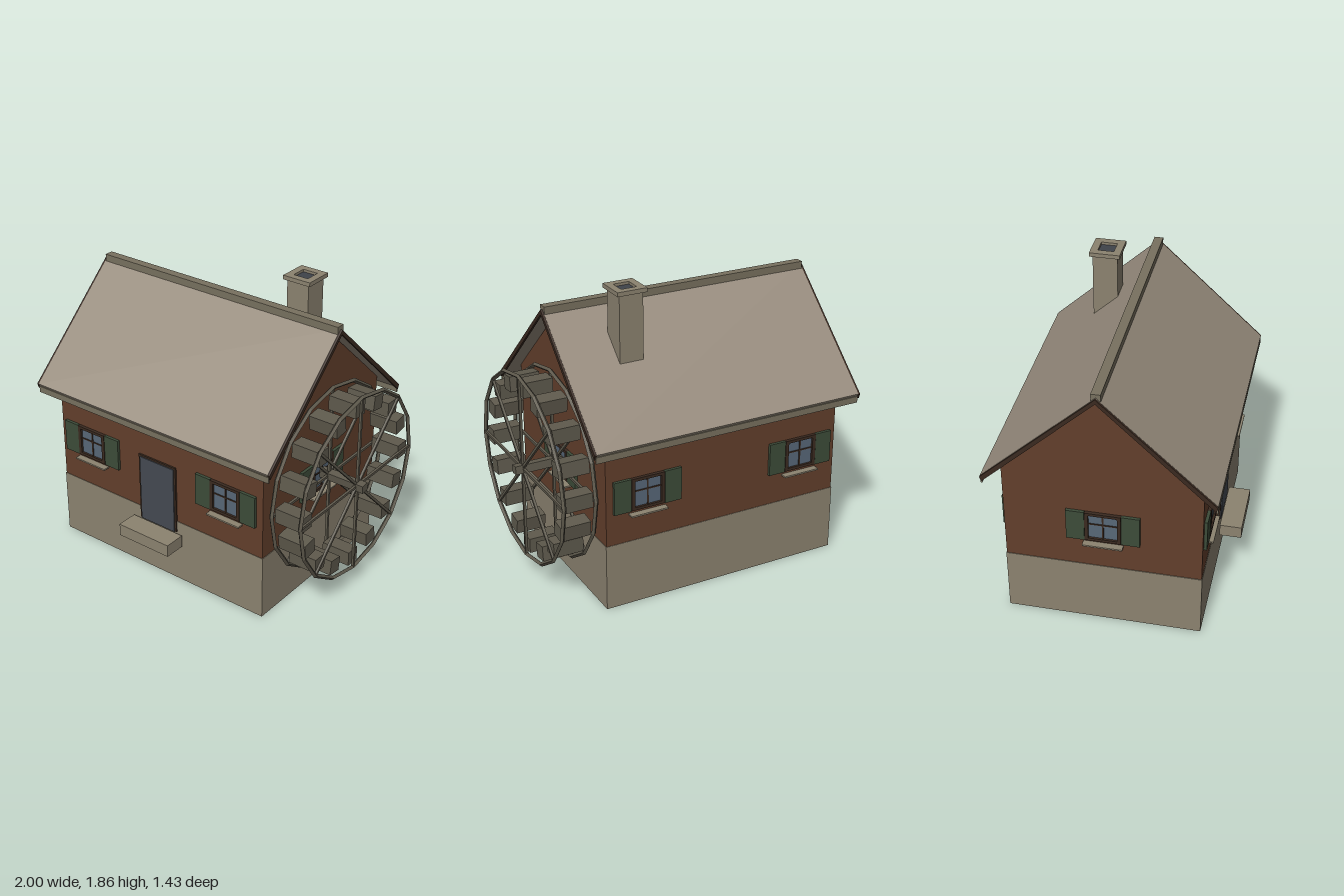
import * as THREE from 'three';

const mat = (color) => new THREE.MeshStandardMaterial({ color, flatShading: true });
const M = {
  stone: mat(0x8c8370), roof: mat(0x978c7d), ridge: mat(0x78715f), wall: mat(0x633f2c),
  trim: mat(0x3a2a20), shutter: mat(0x3d4c39), glass: mat(0x586878), door: mat(0x454a52),
  iron: mat(0x5f5a4d), soot: mat(0x3f434a),
};

// Box given by its limits on each axis
function box(parent, name, material, x0, x1, y0, y1, z0, z1) {
  const mesh = new THREE.Mesh(new THREE.BoxGeometry(x1 - x0, y1 - y0, z1 - z0), material);
  mesh.position.set((x0 + x1) / 2, (y0 + y1) / 2, (z0 + z1) / 2);
  mesh.name = name;
  parent.add(mesh);
  return mesh;
}

// Profile drawn in (-z, y) and extruded along x from x0 to x1
function alongX(parent, name, material, points, x0, x1) {
  const shape = new THREE.Shape(points.map(([z, y]) => new THREE.Vector2(-z, y)));
  const geo = new THREE.ExtrudeGeometry(shape, { depth: x1 - x0, bevelEnabled: false });
  geo.rotateY(Math.PI / 2).translate(x0, 0, 0);
  const mesh = new THREE.Mesh(geo, material);
  mesh.name = name;
  parent.add(mesh);
}

// Shuttered window facing +z, origin at its centre on the wall
function makeWindow() {
  const g = new THREE.Group();
  g.name = 'window';
  box(g, 'glass', M.glass, -0.1, 0.1, -0.1, 0.1, -0.01, 0.006);
  for (const s of [-1, 1]) {
    box(g, 'frameSide', M.trim, s * 0.097 - 0.011, s * 0.097 + 0.011, -0.1, 0.1, -0.01, 0.02);
    box(g, 'frameRail', M.trim, -0.108, 0.108, s * 0.093 - 0.009, s * 0.093 + 0.009, -0.01, 0.02);
    box(g, 'shutter', M.shutter, s * 0.165 - 0.055, s * 0.165 + 0.055, -0.105, 0.103, -0.01, 0.018);
  }
  box(g, 'mullion', M.trim, -0.005, 0.005, -0.1, 0.1, -0.01, 0.011);
  box(g, 'crossbar', M.trim, -0.1, 0.1, 0.012, 0.02, -0.01, 0.011);
  box(g, 'sill', M.stone, -0.12, 0.12, -0.134, -0.124, -0.01, 0.042);
  return g;
}

// Water wheel turning about the x axis, origin at the house-side ring
function makeWheel() {
  const g = new THREE.Group();
  g.name = 'waterWheel';
  const width = 0.2;
  for (const x of [0, width]) {
    const rim = new THREE.Mesh(new THREE.TorusGeometry(0.592, 0.014, 4, 16), M.iron);
    rim.rotation.y = Math.PI / 2;
    rim.position.x = x;
    rim.name = 'rim';
    g.add(rim);
    for (let i = 0; i < 4; i++) {
      const spoke = box(g, 'spoke', M.iron, x - 0.008, x + 0.008, -0.59, 0.59, -0.008, 0.008);
      spoke.rotation.x = (i * Math.PI) / 4;
    }
  }
  for (let i = 0; i < 16; i++) {
    const a = (i * Math.PI) / 8;
    const bucket = box(g, 'bucket', M.iron, 0.005, width - 0.005, -0.047, 0.047, -0.047, 0.047);
    bucket.position.y = 0.515 * Math.cos(a);
    bucket.position.z = 0.515 * Math.sin(a);
    bucket.rotation.x = 0.13 * Math.sin(4 * a);
  }
  const axle = box(g, 'axle', M.iron, -0.07, 0.255, -0.026, 0.026, -0.026, 0.026);
  axle.rotation.x = 0.12;
  return g;
}

export function createModel() {
  const house = new THREE.Group();
  house.name = 'watermill';
  const zc = -0.025;

  // Stone base and gabled walls
  box(house, 'stoneBase', M.stone, -0.89, 0.69, 0, 0.42, -0.62, 0.57);
  alongX(house, 'walls', M.wall,
    [[0.567, 0.42], [-0.617, 0.42], [-0.617, 1.135], [zc, 1.68], [0.567, 1.135]], -0.886, 0.686);

  // Roof slopes, bargeboards and eaves boards, mirrored about the ridge
  for (const s of [1, -1]) {
    const slope = (drop, t) => {
      const pts = [[zc, 1.71 - drop], [zc + s * 0.685, 1.075 - drop],
        [zc + s * 0.675, 1.075 - drop - t], [zc, 1.71 - drop - t]];
      return s > 0 ? pts : pts.reverse();
    };
    alongX(house, 'roofSlope', M.roof, slope(0, 0.02), -0.985, 0.78);
    alongX(house, 'bargeboard', M.trim, slope(0.002, 0.03), -0.998, -0.984);
    alongX(house, 'bargeboard', M.trim, slope(0.002, 0.03), 0.779, 0.793);
    const z = zc + s * 0.679;
    box(house, 'eavesBoard', M.ridge, -0.98, 0.785, 1.02, 1.06, z - 0.005, z + 0.005);
  }
  box(house, 'ridgeCap', M.ridge, -0.98, 0.78, 1.68, 1.73, zc - 0.028, zc + 0.028);

  // Chimney with an open cap
  box(house, 'chimneyStack', M.stone, 0.293, 0.445, 1.3, 1.835, -0.34, -0.186);
  const cap = new THREE.Shape();
  cap.moveTo(-0.095, -0.095).lineTo(0.095, -0.095).lineTo(0.095, 0.095).lineTo(-0.095, 0.095);
  const flue = new THREE.Path();
  flue.moveTo(-0.05, -0.05).lineTo(-0.05, 0.05).lineTo(0.05, 0.05).lineTo(0.05, -0.05);
  cap.holes.push(flue);
  const capGeo = new THREE.ExtrudeGeometry(cap, { depth: 0.026, bevelEnabled: false });
  capGeo.rotateX(-Math.PI / 2);
  const capMesh = new THREE.Mesh(capGeo, M.stone);
  capMesh.position.set(0.369, 1.832, -0.263);
  capMesh.name = 'chimneyCap';
  house.add(capMesh);
  box(house, 'flue', M.soot, 0.319, 0.419, 1.82, 1.842, -0.313, -0.213);

  // Door with its frame and step
  box(house, 'doorFrame', M.trim, -0.245, 0.042, 0.345, 0.8, 0.55, 0.578);
  box(house, 'door', M.door, -0.232, 0.029, 0.345, 0.788, 0.55, 0.584);
  box(house, 'doorStep', M.stone, -0.295, 0.09, 0.262, 0.342, 0.585, 0.722);

  // Windows: two front, two back, one on each end
  const places = [
    [-0.63, 0.568, 0], [0.42, 0.568, 0],
    [-0.63, -0.618, Math.PI], [0.42, -0.618, Math.PI],
    [0.687, -0.02, Math.PI / 2], [-0.887, -0.02, -Math.PI / 2],
  ];
  for (const [x, z, turn] of places) {
    const w = makeWindow();
    w.position.set(x, 0.727, z);
    w.rotation.y = turn;
    house.add(w);
  }

  const wheel = makeWheel();
  wheel.position.set(0.745, 0.732, zc);
  house.add(wheel);
  return house;
}
